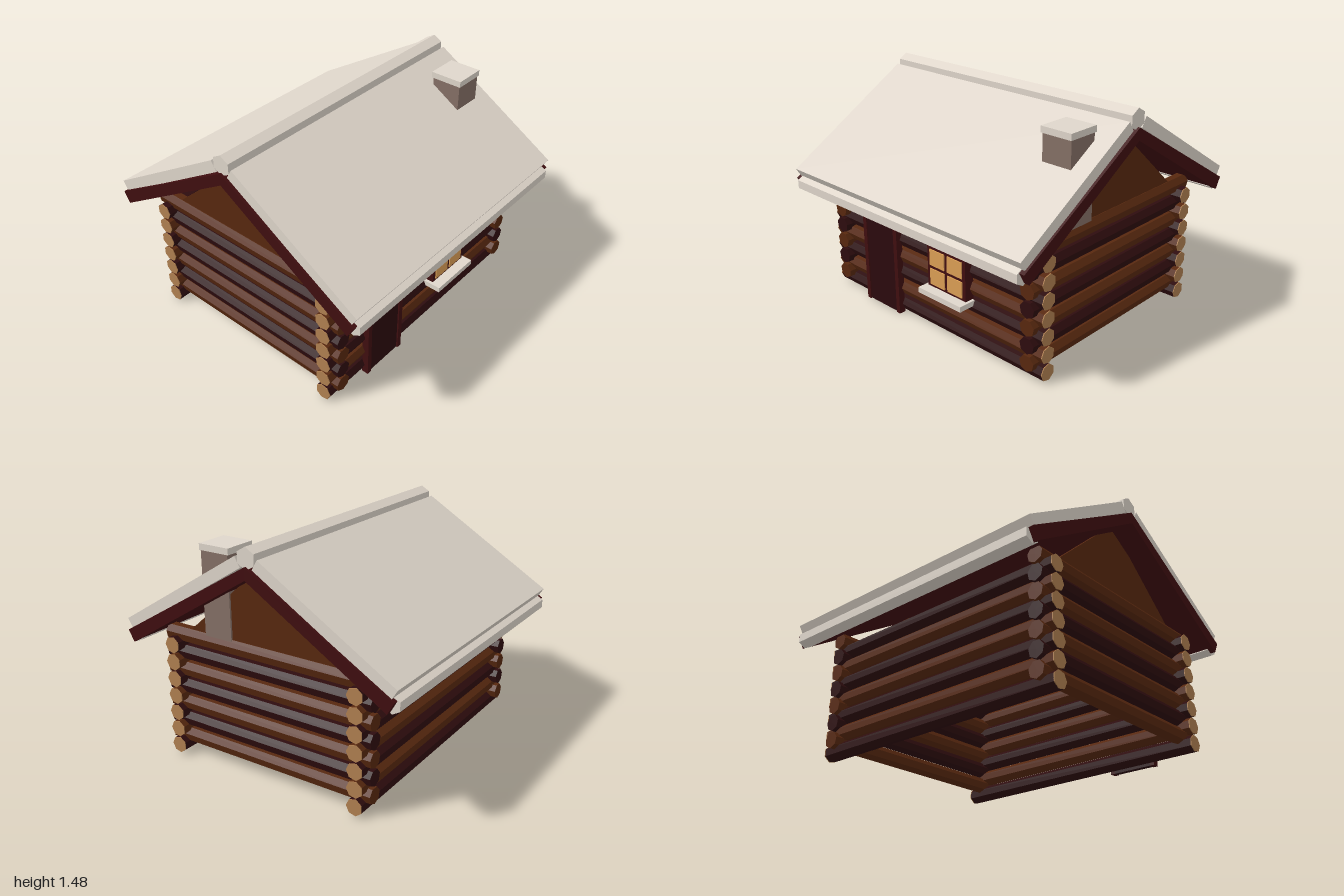
import * as THREE from 'three';

export function createModel() {
  const root = new THREE.Group();
  root.name = 'logCabin';
  const mat = (name, color) => {
    const m = new THREE.MeshStandardMaterial({ color, flatShading: true });
    m.name = name;
    return m;
  };
  const snow = mat('snow', 0xdfd6cb);
  const brown = mat('brownLog', 0x58280f);
  const dark = mat('darkLog', 0x2e0c0e);
  const cutWood = mat('cutWood', 0xb08050);
  const trim = mat('redTrim', 0x400e10);
  const doorRed = mat('doorRed', 0x2b0a0d);
  const stone = mat('stone', 0x857066);
  const glow = mat('windowGlow', 0xdc9f55);

  const add = (name, geo, material, x = 0, y = 0, z = 0, parent = root) => {
    const m = new THREE.Mesh(geo, material);
    m.name = name;
    m.position.set(x, y, z);
    parent.add(m);
    return m;
  };
  // Box given by its limits on each axis
  const block = (name, material, [x0, x1], [y0, y1], [z0, z1], parent = root) =>
    add(name, new THREE.BoxGeometry(x1 - x0, y1 - y0, z1 - z0), material,
      (x0 + x1) / 2, (y0 + y1) / 2, (z0 + z1) / 2, parent);

  // Log walls: front/back and side courses interlock half a step apart
  const walls = new THREE.Group();
  walls.name = 'logWalls';
  root.add(walls);
  const R = 0.054, STEP = 0.114, SIDES = 7;
  const longLog = new THREE.CylinderGeometry(R, R, 1.84, SIDES).rotateZ(Math.PI / 2);
  const sideLog = new THREE.CylinderGeometry(R, R, 1.49, SIDES).rotateX(Math.PI / 2);
  const endDisc = new THREE.CylinderGeometry(R, R, 0.006, SIDES).rotateZ(Math.PI / 2);
  for (let i = 0; i < 7; i++) {
    const y = 0.06 + i * STEP;
    for (const s of [-1, 1]) {
      add('longLog', longLog, i % 2 ? brown : dark, 0, y, s * 0.665, walls);
      for (const e of [-1, 1]) add('logEnd', endDisc, cutWood, e * 0.922, y, s * 0.665, walls);
      add('sideLog', sideLog, i % 2 ? dark : brown, s * 0.833, y + STEP / 2, 0, walls);
    }
  }

  // Gables
  const tri = new THREE.Shape();
  tri.moveTo(-0.615, 0.8);
  tri.lineTo(0.615, 0.8);
  tri.lineTo(0, 1.34);
  tri.closePath();
  const gable = new THREE.ExtrudeGeometry(tri, { depth: 0.04, bevelEnabled: false })
    .translate(0, 0, -0.02).rotateY(Math.PI / 2);
  for (const s of [-1, 1]) add('gable', gable, brown, s * 0.833, 0, 0);

  // Roof deck: one slope's cross-section, mitred at the ridge
  const deck = new THREE.Shape();
  deck.moveTo(0, 1.37);
  deck.lineTo(0, 1.293);
  deck.lineTo(-0.912, 0.738);
  deck.lineTo(-0.953, 0.811);
  deck.closePath();
  const deckGeo = new THREE.ExtrudeGeometry(deck, { depth: 2, bevelEnabled: false })
    .translate(0, 0, -1).rotateY(Math.PI / 2);
  const hexBar = (r, length) => new THREE.CylinderGeometry(r, r, length, 6)
    .rotateY(Math.PI / 2).rotateZ(Math.PI / 2);
  const snowSlab = new THREE.BoxGeometry(1.97, 0.072, 1.037);
  const eaveBar = hexBar(0.054, 1.93);
  for (const s of [-1, 1]) {
    const slope = new THREE.Group();
    slope.name = s > 0 ? 'frontRoof' : 'backRoof';
    root.add(slope);
    add('roofDeck', deckGeo, trim, 0, 0, 0, slope).rotation.y = s > 0 ? 0 : Math.PI;
    add('roofSnow', snowSlab, snow, 0, 1.118, s * 0.503, slope).rotation.x = s * 0.546;
    add('eaveSnow', eaveBar, snow, 0, 0.781, s * 0.923, slope);
  }
  // Ridge bar with a corner pointing up
  const ridge = hexBar(0.067, 1.97);
  ridge.computeBoundingBox();
  const upright = (g) => {
    g.computeBoundingBox();
    const b = g.boundingBox;
    if (b.max.y - b.min.y < b.max.z - b.min.z) g.rotateX(Math.PI / 6);
  };
  upright(ridge);
  upright(eaveBar);
  add('ridgeSnow', ridge, snow, 0, 1.415, 0);

  // Chimney
  block('chimney', stone, [0.66, 0.865], [0.82, 1.372], [0.235, 0.435]);
  block('chimneyCap', snow, [0.653, 0.87], [1.37, 1.41], [0.225, 0.443]);

  // Door with its frame
  const door = new THREE.Group();
  door.name = 'door';
  root.add(door);
  const dz = [0.7, 0.745];
  block('doorPanel', doorRed, [-0.57, -0.3], [0, 0.625], [0.7, 0.735], door);
  block('doorPost', trim, [-0.6, -0.568], [0, 0.665], dz, door);
  block('doorPost', trim, [-0.302, -0.27], [0, 0.665], dz, door);
  block('doorLintel', trim, [-0.568, -0.302], [0.625, 0.665], dz, door);

  // Window: backing frame, four lit panes and a snowy sill
  const win = new THREE.Group();
  win.name = 'window';
  root.add(win);
  block('windowFrame', trim, [0.035, 0.36], [0.32, 0.615], [0.69, 0.755], win);
  for (const x of [0.06, 0.21])
    for (const y of [0.347, 0.475])
      block('windowPane', glow, [x, x + 0.125], [y, y + 0.106], [0.754, 0.762], win);
  block('windowSill', snow, [0.015, 0.38], [0.295, 0.33], [0.7, 0.82], win);

  return root;
}
